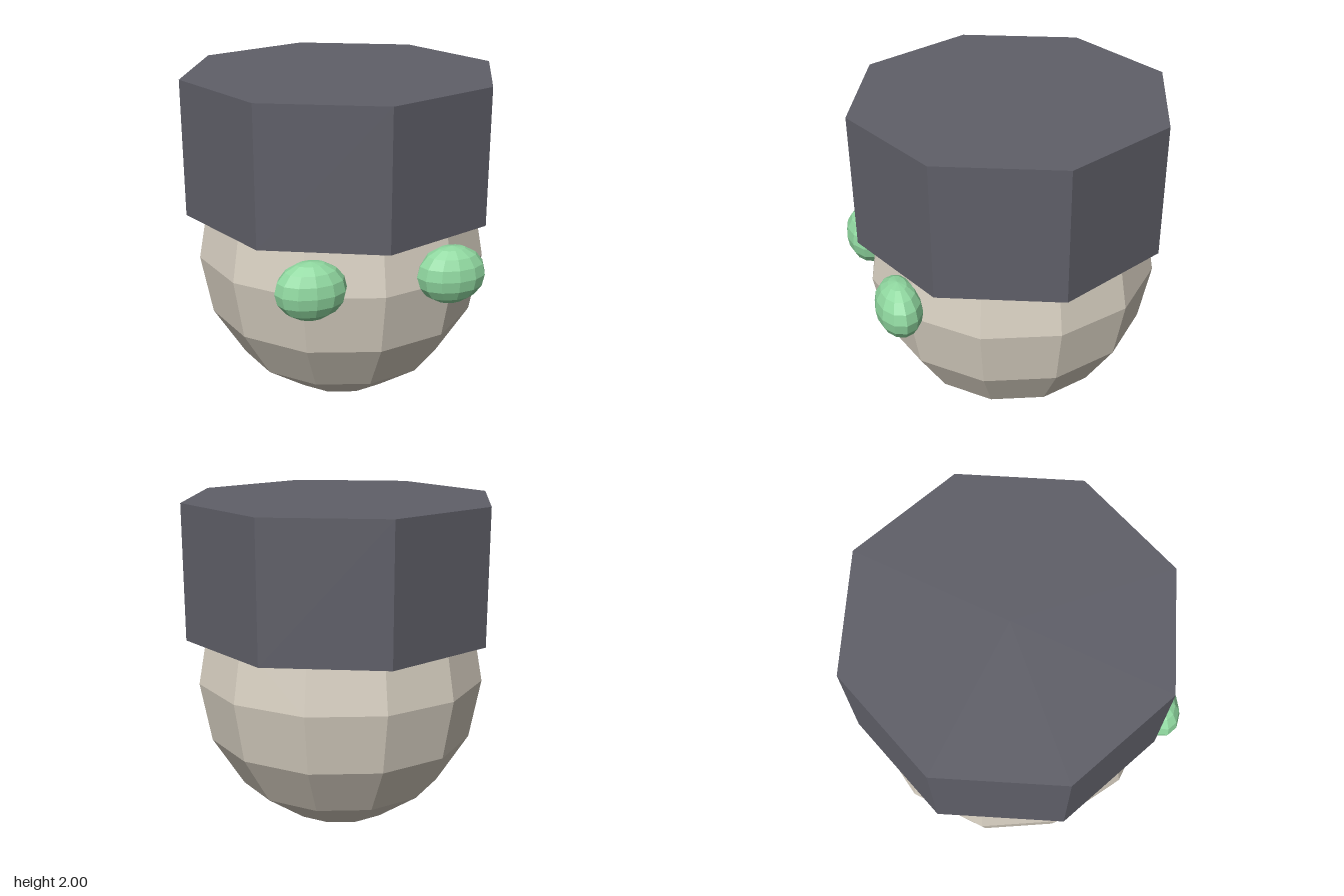
import * as THREE from 'three';

const flat = (geometry) => {
  const g = geometry.toNonIndexed();
  g.computeVertexNormals(); // one normal per facet
  return g;
};

const paint = (name, color) => {
  const m = new THREE.MeshStandardMaterial({ color });
  m.name = name;
  return m;
};

export function createModel() {
  const model = new THREE.Group();
  model.name = 'headWithHat';
  const skin = paint('paleStone', 0xd6cec0);
  const felt = paint('darkGrey', 0x5f5f68);
  const green = paint('softGreen', 0x90d8a0);

  const add = (name, geometry, material, x, y, z) => {
    const mesh = new THREE.Mesh(flat(geometry), material);
    mesh.name = name;
    mesh.position.set(x, y, z);
    model.add(mesh);
  };
  const ellipsoid = (rx, ry, rz) => new THREE.SphereGeometry(1, 12, 8).scale(rx, ry, rz);

  // Egg-shaped head, its crown hidden inside the hat
  add('head', ellipsoid(0.867, 0.933, 0.867), skin, 0, 0.933, 0);

  // Octagonal hat with corners facing front, back and sides
  add('hat', new THREE.CylinderGeometry(0.933, 0.933, 0.795, 8), felt, 0, 1.6025, 0);

  // Bulging eyes
  for (const [name, side] of [['leftEye', 1], ['rightEye', -1]]) {
    add(name, ellipsoid(0.2, 0.167, 0.133), green, side * 0.4, 1, 0.8);
  }
  return model;
}
